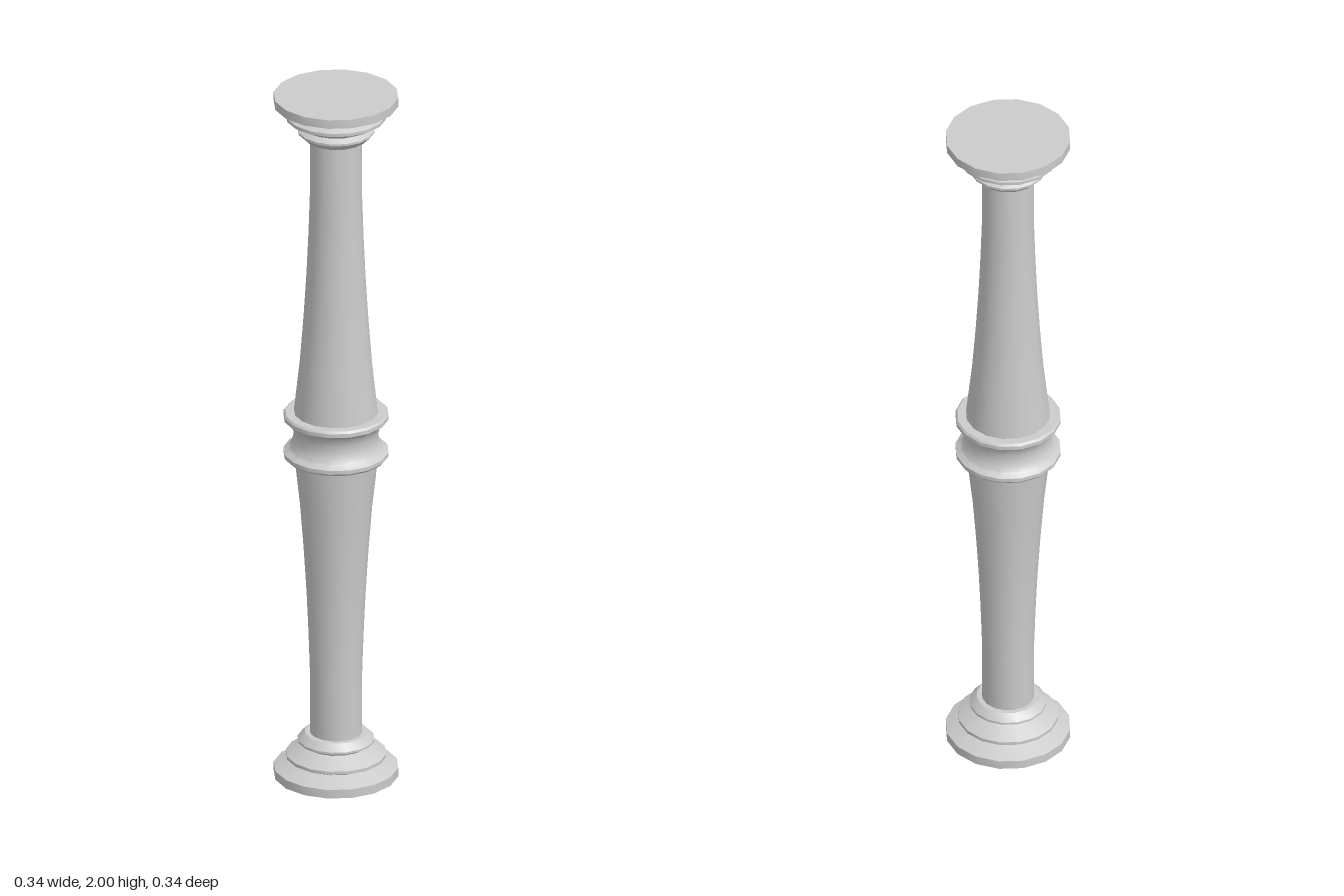
import * as THREE from 'three';
import { toCreasedNormals } from 'three/addons/utils/BufferGeometryUtils.js';

const SIDES = 16;
const MID = 1.0025;
const material = new THREE.MeshStandardMaterial({ color: 0xcccccc });

// Turns a [radius, height] profile, listed bottom to top, keeping its edges sharp
function turned(name, profile) {
  const points = profile.map(([r, y]) => new THREE.Vector2(r, y));
  const geometry = toCreasedNormals(new THREE.LatheGeometry(points, SIDES), 0.5);
  const mesh = new THREE.Mesh(geometry, material);
  mesh.name = name;
  return mesh;
}

// Flips a profile top to bottom about the given height
const flip = (profile, y0) => profile.map(([r, y]) => [r, 2 * y0 - y]).reverse();

export function createModel() {
  const group = new THREE.Group();
  group.name = 'baluster';

  // Stepped foot with two undercut rings, repeated upside down as the capital
  const foot = [
    [0, 0], [0.169, 0], [0.169, 0.025],
    [0.118, 0.046], [0.136, 0.055], [0.136, 0.064],
    [0.088, 0.09], [0.104, 0.1], [0.104, 0.106],
    [0.085, 0.125], [0, 0.125],
  ];
  group.add(turned('foot', foot), turned('capital', flip(foot, 1)));

  // Shaft halves swelling towards the middle
  const shaft = [
    [0.071, 0.11], [0.071, 0.3], [0.075, 0.42], [0.08, 0.53],
    [0.088, 0.66], [0.098, 0.79], [0.115, 0.945],
  ];
  group.add(turned('lowerShaft', shaft), turned('upperShaft', flip(shaft, MID)));

  // Collar: two rims joined by a hollow waist
  const lowerHalf = [
    [0.105, 0.937], [0.138, 0.937], [0.143, 0.943], [0.143, 0.954],
    [0.128, 0.964], [0.12, 0.978], [0.116, 0.993],
  ];
  group.add(turned('collar', [...lowerHalf, ...flip(lowerHalf, MID)]));

  return group;
}
